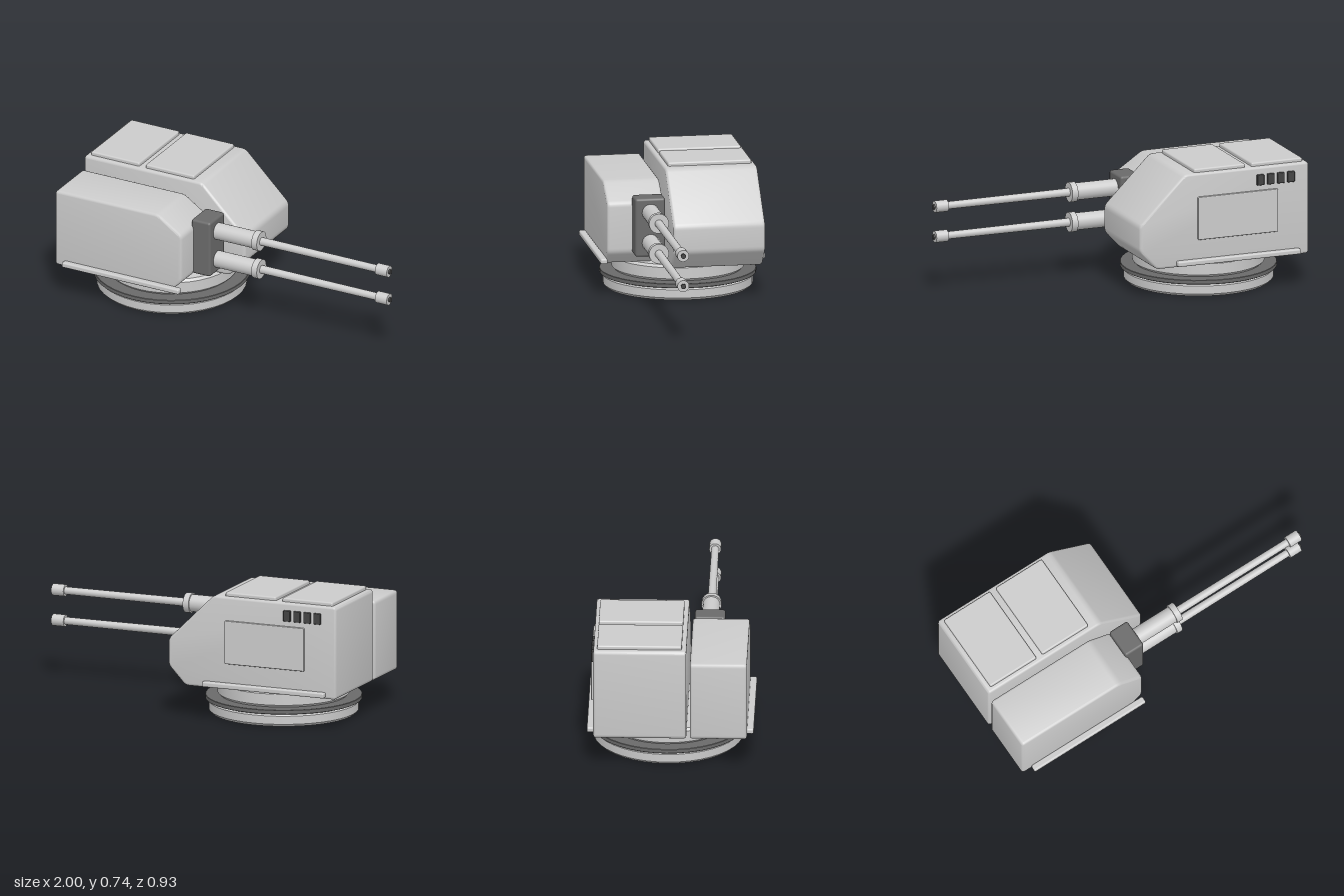
import * as THREE from 'three';
import { toCreasedNormals } from 'three/addons/utils/BufferGeometryUtils.js';
import { RoundedBoxGeometry } from 'three/addons/geometries/RoundedBoxGeometry.js';

const grey = new THREE.MeshStandardMaterial({ color: 0xcccccc });
const dark = new THREE.MeshStandardMaterial({ color: 0x6a6a6a });
const black = new THREE.MeshStandardMaterial({ color: 0x444444 });

function add(parent, name, geometry, material = grey) {
  const mesh = new THREE.Mesh(geometry, material);
  mesh.name = name;
  parent.add(mesh);
  return mesh;
}

// Box given by its minimum and maximum corners
function box(parent, name, a, b, radius, material) {
  const size = b.map((v, i) => v - a[i]);
  const mesh = add(parent, name, new RoundedBoxGeometry(...size, 2, radius), material);
  mesh.position.set(...a.map((v, i) => (v + b[i]) / 2));
  return mesh;
}

// Polygon with every corner rounded
function roundedShape(points, r) {
  const pts = points.map(p => new THREE.Vector2(...p));
  const shape = new THREE.Shape();
  pts.forEach((p, i) => {
    const prev = pts[(i + pts.length - 1) % pts.length];
    const next = pts[(i + 1) % pts.length];
    const from = p.clone().add(prev.clone().sub(p).setLength(r));
    const to = p.clone().add(next.clone().sub(p).setLength(r));
    if (i === 0) shape.moveTo(from.x, from.y);
    else shape.lineTo(from.x, from.y);
    shape.quadraticCurveTo(p.x, p.y, to.x, to.y);
  });
  shape.closePath();
  return shape;
}

// Side profile extruded from z0 to z1 with softened edges
function housing(parent, name, profile, z0, z1) {
  const bevel = 0.014;
  const geo = new THREE.ExtrudeGeometry(roundedShape(profile, 0.022), {
    depth: z1 - z0 - 2 * bevel, curveSegments: 4, bevelEnabled: true,
    bevelThickness: bevel, bevelSize: bevel, bevelOffset: -bevel, bevelSegments: 3,
  });
  geo.translate(0, 0, z0 + bevel);
  return add(parent, name, toCreasedNormals(geo, 0.6));
}

// Upright disc with chamfered rims
function disc(parent, name, r, y0, y1, c, material) {
  const pts = [[0, y0], [r - c, y0], [r, y0 + c], [r, y1 - c], [r - c, y1], [0, y1]];
  const geo = new THREE.LatheGeometry(pts.map(p => new THREE.Vector2(...p)), 40);
  const mesh = add(parent, name, toCreasedNormals(geo, 0.6), material);
  mesh.position.set(-0.505, 0, -0.021);
}

// Cylinder along x
function rod(parent, name, x0, x1, r0, r1, y, z, material) {
  const geo = new THREE.CylinderGeometry(r1, r0, x1 - x0, 24);
  geo.rotateZ(-Math.PI / 2);
  add(parent, name, geo, material).position.set((x0 + x1) / 2, y, z);
}

export function createModel() {
  const model = new THREE.Group();
  model.name = 'twinGunTurret';

  // Turning base
  disc(model, 'baseDisc', 0.417, 0, 0.076, 0.015);
  disc(model, 'bearingRing', 0.436, 0.075, 0.099, 0.002, dark);
  disc(model, 'upperDisc', 0.368, 0.098, 0.189, 0.014);

  // Two armoured housings with an open gap between them
  housing(model, 'mainHousing', [
    [-1, 0.187], [-0.085, 0.187], [0.018, 0.295], [0.018, 0.445], [-0.255, 0.714], [-1, 0.714],
  ], -0.426, 0.09);
  housing(model, 'gunHousing', [
    [-1, 0.187], [-0.275, 0.187], [-0.2, 0.262], [-0.2, 0.54], [-0.35, 0.64], [-1, 0.64],
  ], 0.11, 0.426);

  // Roof hatches
  for (const x of [-0.97, -0.625]) {
    box(model, 'roofHatch', [x, 0.705, -0.405], [x + 0.306, 0.735, 0.064], 0.009);
  }

  // Lower side rails
  for (const [z0, z1] of [[0.424, 0.463], [-0.463, -0.424]]) {
    box(model, 'sideRail', [-0.94, 0.197, z0], [-0.2, 0.227, z1], 0.009);
  }

  // Access panel and vents on the back
  box(model, 'accessPanel', [-0.81, 0.335, -0.442], [-0.33, 0.58, -0.42], 0.005);
  for (let i = 0; i < 4; i++) {
    const x = -0.91 + i * 0.061;
    box(model, 'vent', [x, 0.61, -0.44], [x + 0.042, 0.671, -0.42], 0.004, black);
  }

  // Mantlet and twin guns
  box(model, 'mantlet', [-0.216, 0.255, 0.116], [-0.096, 0.586, 0.286], 0.014, dark);
  for (const y of [0.506, 0.334]) {
    const gun = new THREE.Group();
    gun.name = 'gun';
    model.add(gun);
    const z = 0.2;
    rod(gun, 'sleeve', -0.11, 0.15, 0.048, 0.048, y, z);
    rod(gun, 'collar', 0.147, 0.182, 0.056, 0.056, y, z);
    rod(gun, 'barrel', 0.17, 0.93, 0.023, 0.021, y, z);
    rod(gun, 'muzzle', 0.916, 0.99, 0.033, 0.033, y, z);
    rod(gun, 'bore', 0.98, 1, 0.014, 0.014, y, z, black);
  }
  return model;
}
